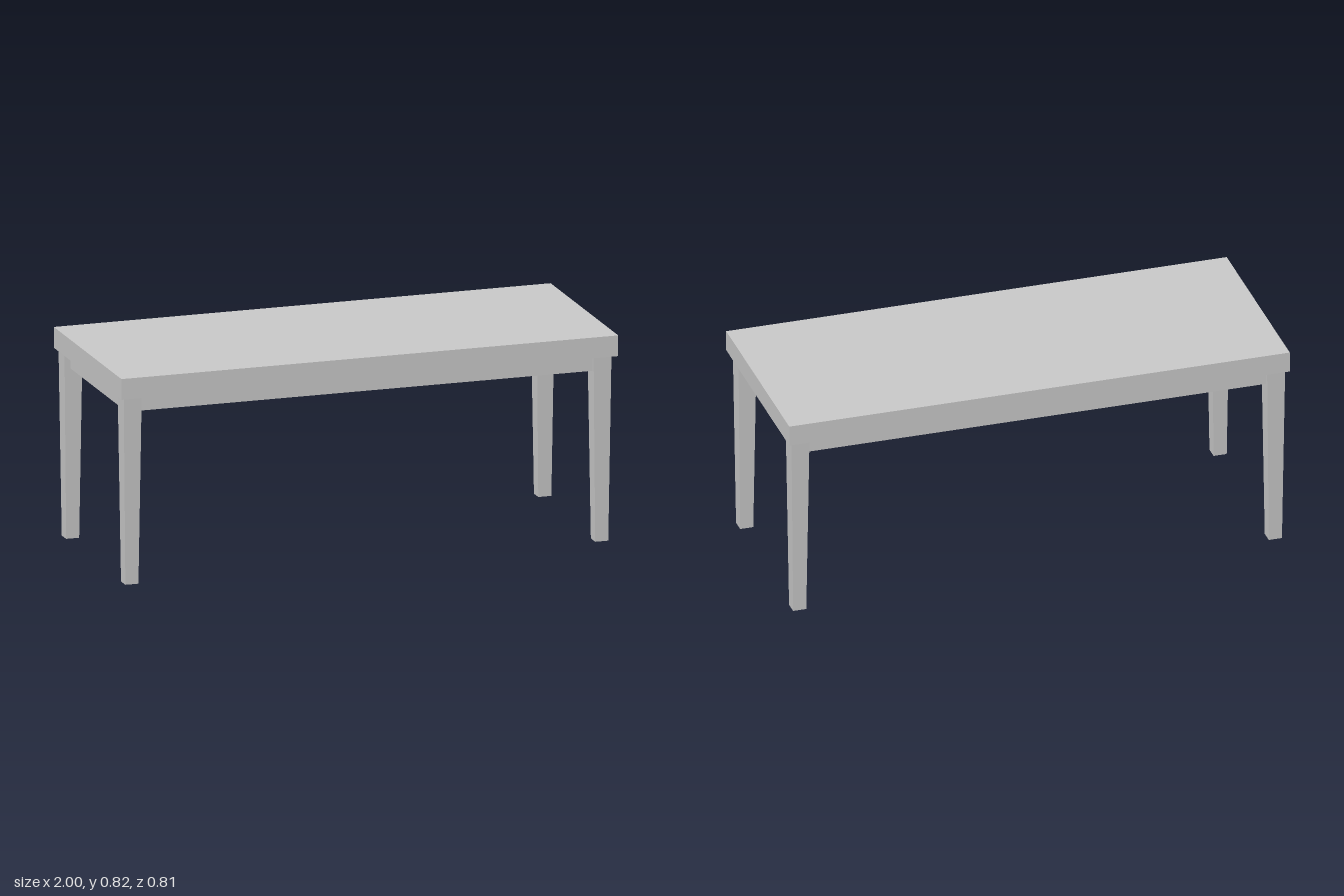
import * as THREE from 'three';

const material = new THREE.MeshStandardMaterial({ color: 0xcccccc, flatShading: true });
const TOP = 0.817, UNDER = 0.735, RAIL_BOTTOM = 0.675, RAIL = 0.035;

function box(name, w, h, d, x, y, z) {
  const mesh = new THREE.Mesh(new THREE.BoxGeometry(w, h, d), material);
  mesh.name = name;
  mesh.position.set(x, y, z);
  return mesh;
}

// square leg, narrower at the foot
function taperedLeg(name, x, z) {
  const leg = box(name, 0.072, UNDER, 0.072, x, UNDER / 2, z);
  const p = leg.geometry.attributes.position;
  for (let i = 0; i < p.count; i++) {
    if (p.getY(i) < 0) {
      p.setX(i, p.getX(i) * 0.73);
      p.setZ(i, p.getZ(i) * 0.73);
    }
  }
  leg.geometry.computeVertexNormals();
  return leg;
}

export function createModel() {
  const table = new THREE.Group();
  table.name = 'table';

  // thick slab top
  table.add(box('tableTop', 2, TOP - UNDER, 0.806, 0, (TOP + UNDER) / 2, 0));

  // legs, set slightly unevenly
  table.add(
    taperedLeg('frontLeftLeg', 0.945, 0.343),
    taperedLeg('frontRightLeg', -0.954, 0.366),
    taperedLeg('backLeftLeg', 0.949, -0.347),
    taperedLeg('backRightLeg', -0.953, -0.343)
  );

  // apron rails running between the legs
  const railH = UNDER - RAIL_BOTTOM, railY = (UNDER + RAIL_BOTTOM) / 2;
  for (const s of [1, -1]) {
    table.add(box(s > 0 ? 'frontRail' : 'backRail', 1.86, railH, RAIL, 0, railY, s * 0.347));
    table.add(box(s > 0 ? 'leftRail' : 'rightRail', RAIL, railH, 0.65, s * 0.948, railY, 0));
  }
  return table;
}
